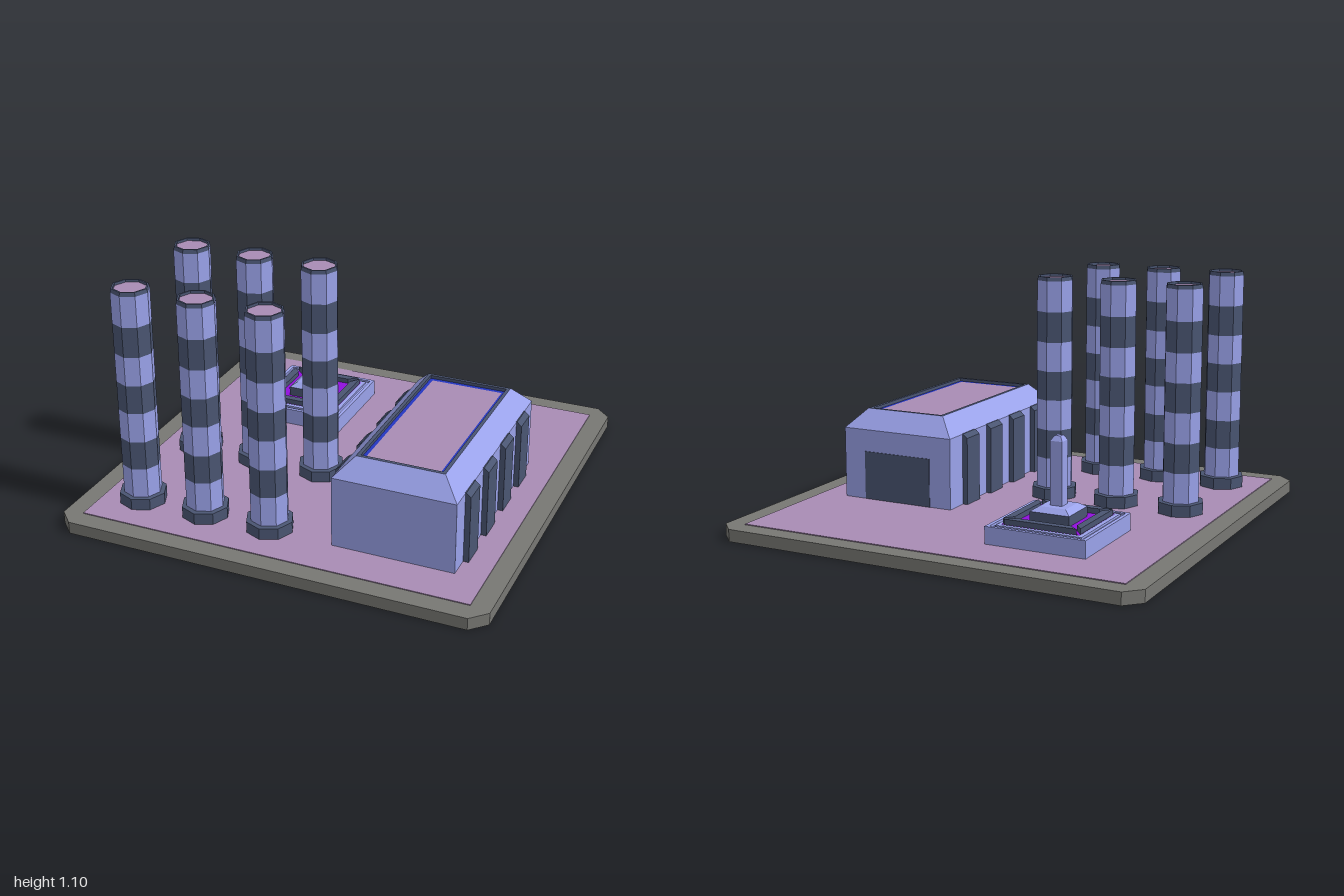
import * as THREE from 'three';

const paint = (color) => new THREE.MeshStandardMaterial({ color, flatShading: true, side: THREE.DoubleSide });
const lilac = paint(0x9aa2ea), dark = paint(0x4a5572), mauve = paint(0xa88cb4);
const grey = paint(0x777773), purple = paint(0x9010dd), blue = paint(0x2436c0);

function add(parent, name, geometry, material, x = 0, y = 0, z = 0) {
  const mesh = new THREE.Mesh(geometry, material);
  mesh.name = name;
  mesh.position.set(x, y, z);
  parent.add(mesh);
  return mesh;
}

// Skin through rectangular cross-sections [half width x, half depth z, height]
function loft(rings) {
  const pos = [], index = [];
  for (const [hx, hz, y] of rings) pos.push(-hx, y, hz, hx, y, hz, hx, y, -hz, -hx, y, -hz);
  for (let r = 0; r < rings.length - 1; r++) {
    for (let i = 0; i < 4; i++) {
      const a = r * 4 + i, b = r * 4 + (i + 1) % 4;
      index.push(a, b, b + 4, a, b + 4, a + 4);
    }
  }
  const g = new THREE.BufferGeometry();
  g.setAttribute('position', new THREE.Float32BufferAttribute(pos, 3));
  g.setIndex(index);
  g.computeVertexNormals();
  return g;
}
const squares = (list) => loft(list.map(([h, y]) => [h, h, y]));

// Eight-sided turned part from [radius, height] pairs
const turned = (list) => new THREE.LatheGeometry(list.map(([r, y]) => new THREE.Vector2(r, y)), 8);

// Flat outline in x and y pulled along z
function extrude(points, depth) {
  const shape = new THREE.Shape(points.map(([x, y]) => new THREE.Vector2(x, y)));
  return new THREE.ExtrudeGeometry(shape, { depth, bevelEnabled: false });
}

function makeGround() {
  const g = new THREE.Group();
  g.name = 'ground';
  const c = 0.93;
  const slab = extrude([[-1, -c], [-c, -1], [c, -1], [1, -c], [1, c], [c, 1], [-c, 1], [-1, c]], 0.056);
  slab.rotateX(-Math.PI / 2);
  add(g, 'slab', slab, grey);
  add(g, 'yard', new THREE.BoxGeometry(1.82, 0.01, 1.82), mauve, 0, 0.055, 0);
  return g;
}

function makeChimney(x, z) {
  const g = new THREE.Group();
  g.name = 'chimney';
  g.position.set(x, 0, z);
  add(g, 'chimneyFoot', turned([[0.108, 0.055], [0.108, 0.113], [0.084, 0.116]]), dark);
  // Alternating light and dark bands
  const heights = [0.06, 0.255, 0.39, 0.53, 0.665, 0.8, 0.94, 1.082];
  for (let i = 0; i < heights.length - 1; i++) {
    add(g, 'chimneyBand', turned([[0.087, heights[i]], [0.087, heights[i + 1]]]), i % 2 ? dark : lilac);
  }
  add(g, 'chimneyRim', turned([[0.087, 1.082], [0.083, 1.1], [0.075, 1.1], [0.075, 1.085]]), dark);
  add(g, 'chimneyFill', turned([[0.075, 1.088], [0, 1.088]]), mauve);
  return g;
}

function makeHall() {
  const g = new THREE.Group();
  g.name = 'hall';
  g.position.set(0.495, 0, 0.208);
  add(g, 'walls', loft([[0.281, 0.513, 0.055], [0.281, 0.513, 0.39]]), lilac);
  add(g, 'slopedRoof', loft([[0.281, 0.513, 0.39], [0.2, 0.435, 0.475]]), lilac);
  // Rim and sunken flat roof
  add(g, 'roofRim', loft([[0.2, 0.435, 0.475], [0.184, 0.419, 0.475], [0.184, 0.419, 0.458]]), dark);
  add(g, 'roofTrim', loft([[0.184, 0.419, 0.46], [0.168, 0.4, 0.46]]), blue);
  add(g, 'flatRoof', loft([[0.168, 0.4, 0.46], [0, 0, 0.46]]), mauve);
  // Piers along both long sides, with sloped tops
  for (const side of [-1, 1]) {
    for (let i = 0; i < 4; i++) {
      const pier = extrude([[0.275, 0.055], [0.306, 0.055], [0.306, 0.373], [0.284, 0.392], [0.275, 0.392]], 0.117);
      pier.translate(0, 0, -0.0585);
      const mesh = add(g, 'pier', pier, dark, 0, 0, -0.338 + i * 0.23);
      if (side < 0) mesh.rotation.y = Math.PI;
    }
  }
  add(g, 'backDoor', new THREE.BoxGeometry(0.345, 0.23, 0.01), dark, 0, 0.172, -0.511);
  return g;
}

function makeMonument() {
  const g = new THREE.Group();
  g.name = 'monument';
  g.position.set(-0.408, 0, -0.465);
  add(g, 'plinth', squares([[0.234, 0.055], [0.234, 0.138], [0.217, 0.138], [0.217, 0.128],
    [0.2, 0.128], [0.2, 0.138], [0.18, 0.138]]), lilac);
  add(g, 'courtFloor', squares([[0.182, 0.14], [0, 0.14]]), purple);
  // Low walls around the court, leaving the corners open
  for (let i = 0; i < 4; i++) {
    const wall = extrude([[-0.168, -0.18], [0.168, -0.18], [0.125, -0.145], [-0.125, -0.145]], 0.028);
    wall.rotateX(-Math.PI / 2);
    add(g, 'courtWall', wall, dark, 0, 0.136, 0).rotation.y = i * Math.PI / 2;
  }
  // Stepped foot and needle
  add(g, 'needleFoot', squares([[0.092, 0.138], [0.092, 0.185], [0, 0.185]]), dark);
  add(g, 'needleStep', squares([[0.092, 0.185], [0.062, 0.205], [0, 0.205]]), lilac);
  add(g, 'needle', squares([[0.028, 0.2], [0.028, 0.485], [0.014, 0.507], [0, 0.507]]), lilac);
  return g;
}

export function createModel() {
  const model = new THREE.Group();
  model.name = 'powerStation';
  model.add(makeGround(), makeHall(), makeMonument());
  for (const z of [0.15, 0.695]) {
    for (const x of [-0.725, -0.408, -0.091]) model.add(makeChimney(x, z));
  }
  return model;
}
